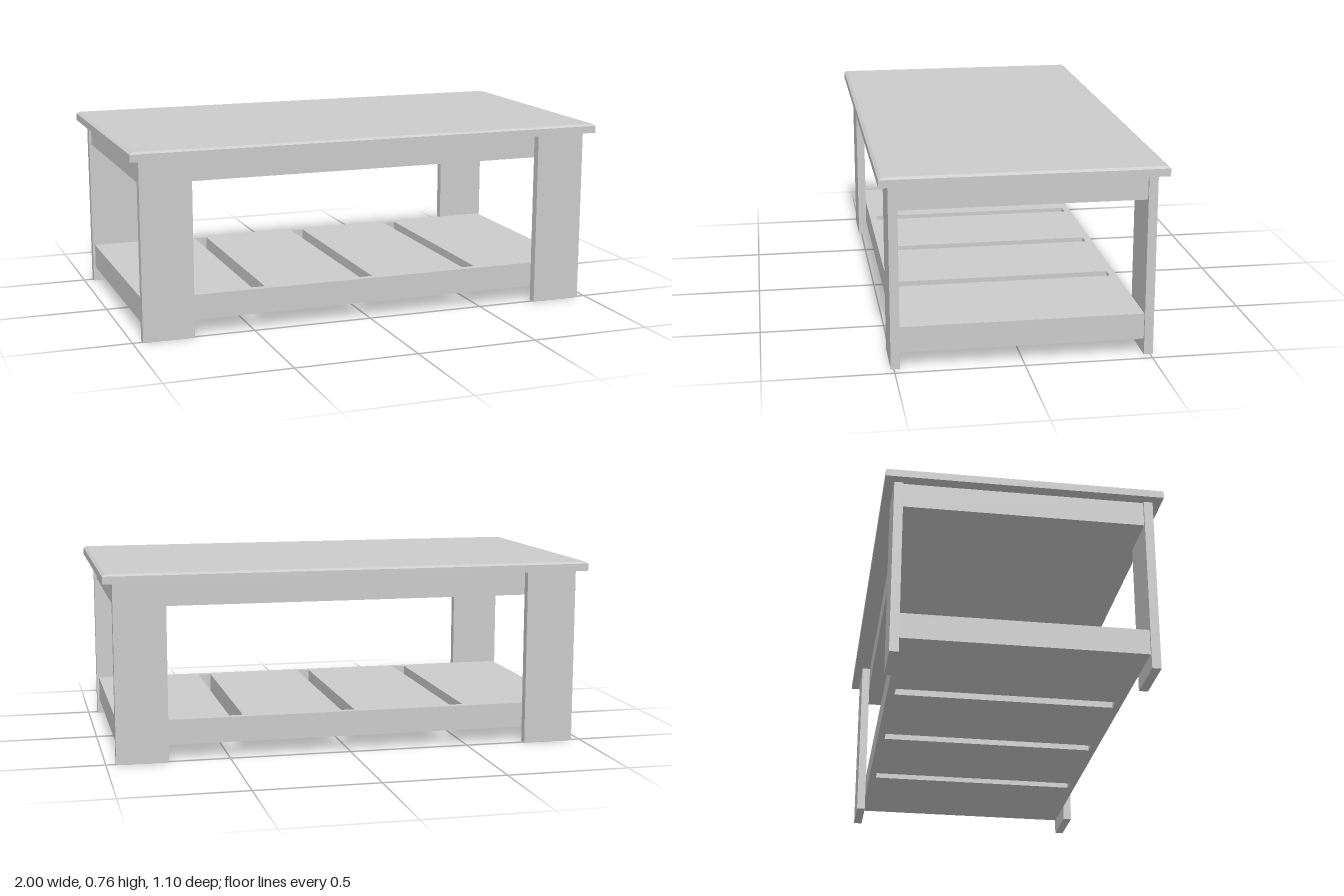
import * as THREE from 'three';

const material = new THREE.MeshStandardMaterial({ color: 0xcccccc, flatShading: true });

function addMesh(group, name, geometry, x = 0, y = 0, z = 0) {
  const mesh = new THREE.Mesh(geometry, material);
  mesh.name = name;
  mesh.position.set(x, y, z);
  group.add(mesh);
}

// Slab whose upper edge is cut back by a small chamfer
function chamferedSlab(width, depth, y0, yEdge, yTop, inset) {
  const geo = new THREE.BoxGeometry(width, 2, depth, 1, 2, 1);
  const pos = geo.attributes.position;
  for (let i = 0; i < pos.count; i++) {
    const level = Math.round(pos.getY(i));
    pos.setY(i, level < 0 ? y0 : level === 0 ? yEdge : yTop);
    if (level > 0) {
      pos.setX(i, pos.getX(i) - Math.sign(pos.getX(i)) * inset);
      pos.setZ(i, pos.getZ(i) - Math.sign(pos.getZ(i)) * inset);
    }
  }
  const flat = geo.toNonIndexed();
  flat.computeVertexNormals();
  return flat;
}

// Lower shelf with three slots cut right through
function slottedShelf(halfX, halfZ, height) {
  const rect = (path, x0, x1, z) =>
    path.moveTo(x0, -z).lineTo(x1, -z).lineTo(x1, z).lineTo(x0, z).closePath();
  const shape = rect(new THREE.Shape(), -halfX, halfX, halfZ);
  for (const x of [-0.467, 0, 0.467]) {
    shape.holes.push(rect(new THREE.Path(), x - 0.028, x + 0.028, halfZ - 0.03));
  }
  const geo = new THREE.ExtrudeGeometry(shape, { depth: height, bevelEnabled: false });
  return geo.rotateX(-Math.PI / 2);
}

export function createModel() {
  const table = new THREE.Group();
  table.name = 'coffeeTable';

  addMesh(table, 'tableTop', chamferedSlab(2, 1.096, 0.727, 0.757, 0.765, 0.012));
  addMesh(table, 'apron', new THREE.BoxGeometry(1.9, 0.102, 0.952), 0, 0.676, 0);
  addMesh(table, 'shelf', slottedShelf(0.95, 0.476, 0.103), 0, 0.062, 0);

  // Four flat board legs, on the front and back faces
  for (const sx of [-1, 1]) {
    for (const sz of [-1, 1]) {
      const name = (sz > 0 ? 'front' : 'back') + (sx > 0 ? 'Left' : 'Right') + 'Leg';
      addMesh(table, name, new THREE.BoxGeometry(0.21, 0.727, 0.036), sx * 0.855, 0.3635, sz * 0.494);
    }
  }
  return table;
}
